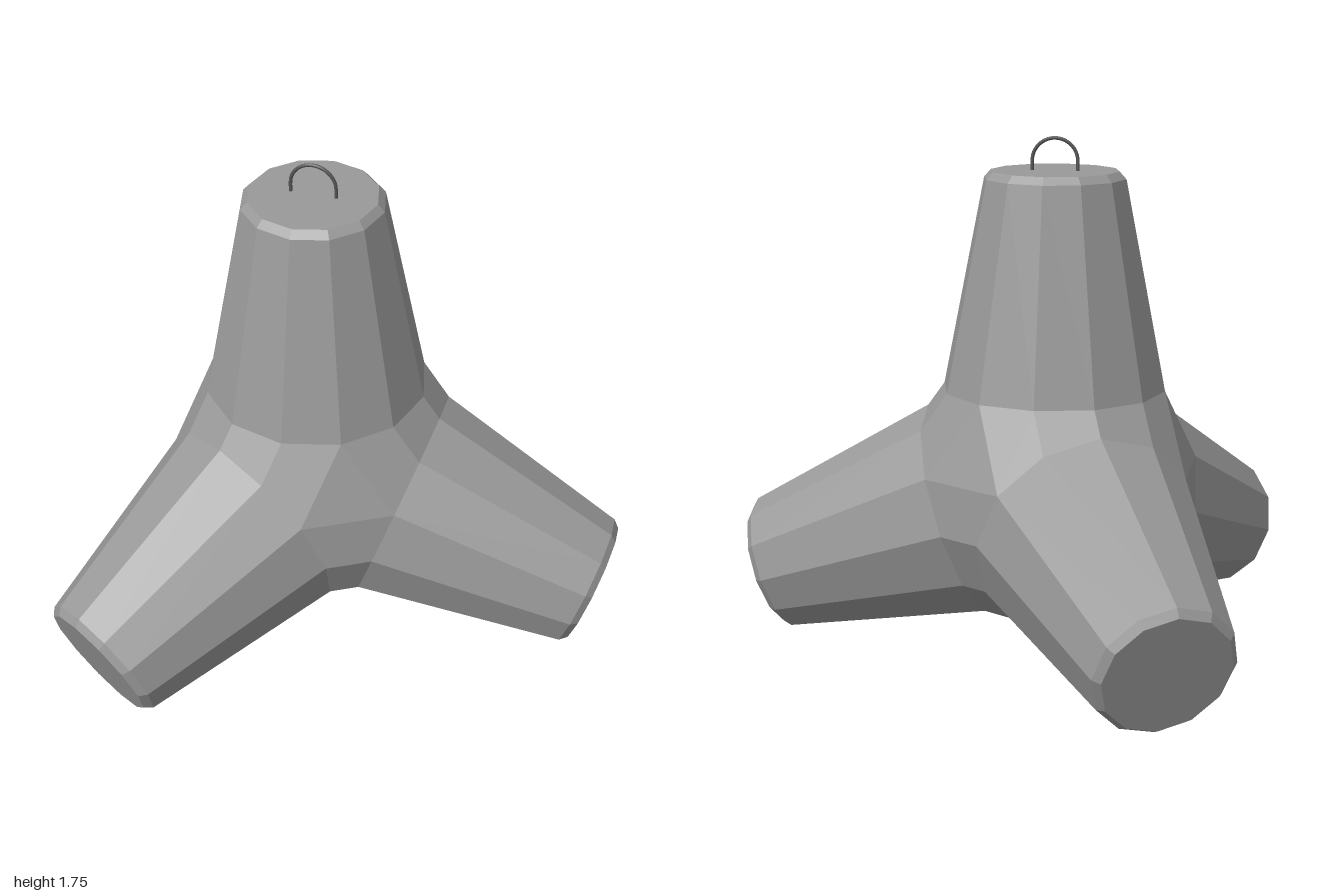
import * as THREE from 'three';
import { ConvexGeometry } from 'three/addons/geometries/ConvexGeometry.js';

const SIDES = 12;
const CENTER = new THREE.Vector3(-0.195, 0.572, 0);
const BASE_RADIUS = 0.38, BASE_DIST = 0.33;

export function createModel() {
  const group = new THREE.Group();
  const concrete = new THREE.MeshStandardMaterial({ color: 0x999999 });
  concrete.name = 'concrete grey';
  const steel = new THREE.MeshStandardMaterial({ color: 0x555555 });
  steel.name = 'dark steel';

  const add = (name, geometry, material) => {
    const mesh = new THREE.Mesh(geometry, material);
    mesh.name = name;
    group.add(mesh);
    return mesh;
  };

  // Tapered, faceted limb with a chamfered flat end, pointing up from the centre
  const profile = [[BASE_RADIUS, BASE_DIST], [0.24, 1.04], [0.217, 1.065], [0, 1.065]]
    .map(([r, y]) => new THREE.Vector2(r, y));
  const limb = new THREE.LatheGeometry(profile, SIDES).toNonIndexed();
  limb.computeVertexNormals();

  // Four tetrahedral directions: one up, three splayed legs
  const tilt = new THREE.Matrix4().makeRotationZ(-Math.acos(-1 / 3));
  const turned = (a) => new THREE.Matrix4().makeRotationY(a).multiply(tilt);
  const limbs = [
    ['topLimb', new THREE.Matrix4()],
    ['leftLeg', turned(0)],
    ['backRightLeg', turned(Math.PI * 2 / 3)],
    ['frontRightLeg', turned(-Math.PI * 2 / 3)],
  ];

  const corePoints = [];
  for (const [name, matrix] of limbs) {
    add(name, limb.clone().applyMatrix4(matrix), concrete).position.copy(CENTER);
    for (let i = 0; i < SIDES; i++) {
      const a = i / SIDES * Math.PI * 2;
      corePoints.push(new THREE.Vector3(
        BASE_RADIUS * Math.sin(a), BASE_DIST, BASE_RADIUS * Math.cos(a)).applyMatrix4(matrix));
    }
  }

  // Core bridging the base rings of the four limbs
  add('core', new ConvexGeometry(corePoints), concrete).position.copy(CENTER);

  // Lifting loop: two short uprights joined by a half circle
  const r = 0.077, bend = 1.667;
  const path = new THREE.CurvePath();
  path.add(new THREE.LineCurve3(new THREE.Vector3(r, 1.62, 0), new THREE.Vector3(r, bend, 0)));
  const arc = [];
  for (let i = 0; i <= 12; i++) {
    const a = i / 12 * Math.PI;
    arc.push(new THREE.Vector3(r * Math.cos(a), bend + r * Math.sin(a), 0));
  }
  path.add(new THREE.CatmullRomCurve3(arc));
  path.add(new THREE.LineCurve3(new THREE.Vector3(-r, bend, 0), new THREE.Vector3(-r, 1.62, 0)));
  add('liftingLoop', new THREE.TubeGeometry(path, 40, 0.006, 8), steel).position.x = CENTER.x;

  return group;
}
